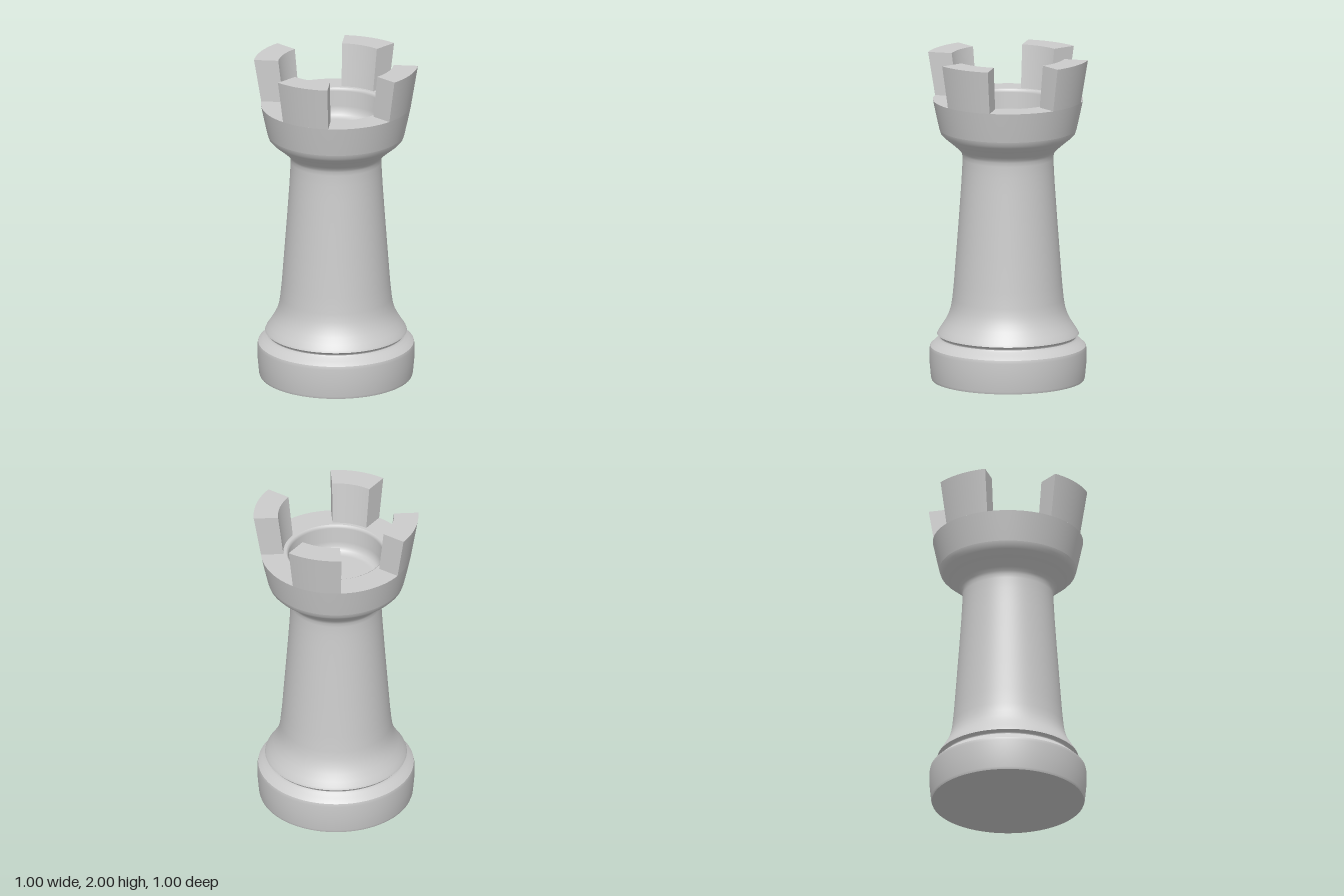
import * as THREE from 'three';

const SEGMENTS = 96;
const RIM_Y = 1.735;

const material = new THREE.MeshStandardMaterial({ color: 0xcccccc });
const capMaterial = new THREE.MeshStandardMaterial({ color: 0xcccccc, side: THREE.DoubleSide });

const toPoints = (pairs) => pairs.map(([r, y]) => new THREE.Vector2(r, y));

// One smooth band of revolution; separate bands meet in a sharp edge
function band(name, pairs, start = 0, length = Math.PI * 2, segments = SEGMENTS) {
  const mesh = new THREE.Mesh(new THREE.LatheGeometry(toPoints(pairs), segments, start, length), material);
  mesh.name = name;
  return mesh;
}

// Wedge-shaped battlement: swept quadrilateral with flat ends
function createMerlon(angle) {
  const merlon = new THREE.Group();
  merlon.name = 'merlon';
  const half = THREE.MathUtils.degToRad(19.4);
  const section = [[0.456, RIM_Y], [0.5, 2], [0.352, 2], [0.32, RIM_Y]];
  ['merlonOuterFace', 'merlonTop', 'merlonInnerFace'].forEach((name, i) => {
    merlon.add(band(name, [section[i], section[i + 1]], angle - half, half * 2, 16));
  });
  const capGeometry = new THREE.ShapeGeometry(new THREE.Shape(toPoints(section)));
  for (const side of [-1, 1]) {
    const cap = new THREE.Mesh(capGeometry, capMaterial);
    cap.name = 'merlonSide';
    cap.rotation.y = angle + side * half - Math.PI / 2;
    merlon.add(cap);
  }
  return merlon;
}

export function createModel() {
  const model = new THREE.Group();
  model.name = 'rook';

  // Foot
  model.add(band('footUnderside', [[0, 0], [0.462, 0]]));
  model.add(band('foot', [[0.462, 0], [0.467, 0.015], [0.475, 0.1], [0.476, 0.19], [0.472, 0.21]]));
  model.add(band('footShoulder', [[0.472, 0.21], [0.445, 0.235], [0.42, 0.25], [0.412, 0.262]]));
  model.add(band('groove', [[0.412, 0.262], [0.413, 0.27], [0.43, 0.283]]));

  // Skirt, tapering shaft and flare under the head
  model.add(band('shaft', [
    [0.43, 0.283], [0.424, 0.297], [0.405, 0.325], [0.38, 0.365], [0.36, 0.405], [0.346, 0.45],
    [0.338, 0.5], [0.328, 0.6], [0.313, 0.8], [0.298, 1.0], [0.284, 1.2], [0.278, 1.3],
    [0.276, 1.37], [0.278, 1.395], [0.285, 1.412], [0.3, 1.43], [0.35, 1.474], [0.392, 1.508],
    [0.408, 1.526], [0.416, 1.55],
  ]));

  // Head wall, rim and sunken well
  model.add(band('headWall', [[0.416, 1.55], [0.434, 1.63], [0.456, RIM_Y]]));
  model.add(band('rim', [[0.456, RIM_Y], [0.3, RIM_Y]]));
  model.add(band('well', [
    [0.3, RIM_Y], [0.292, 1.73], [0.288, 1.715], [0.285, 1.62], [0.28, 1.59],
    [0.268, 1.568], [0.25, 1.556], [0.23, 1.553], [0, 1.553],
  ]));

  // Four battlements
  for (let i = 0; i < 4; i++) model.add(createMerlon(i * Math.PI / 2));

  return model;
}
